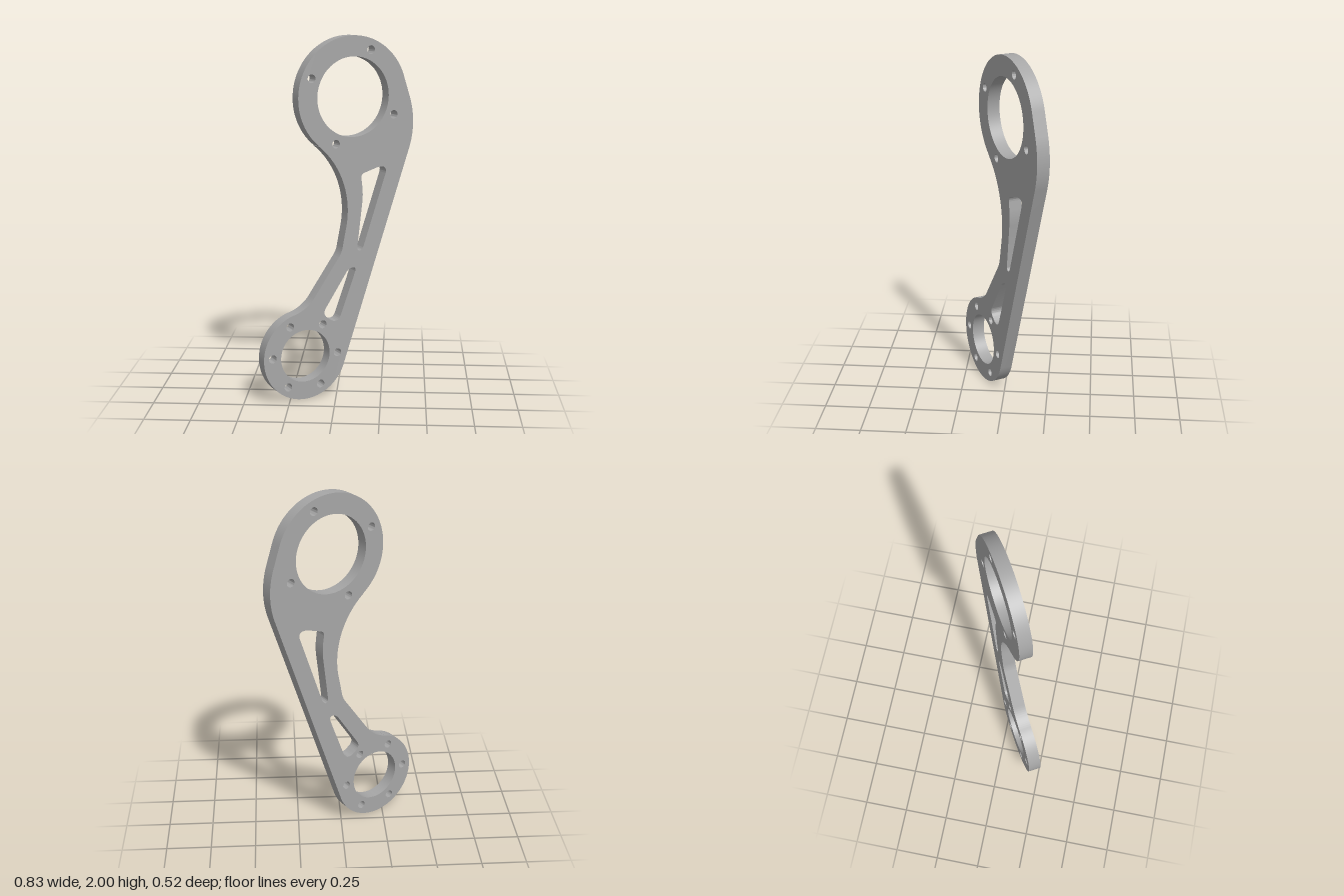
import * as THREE from 'three';
import { toCreasedNormals } from 'three/addons/utils/BufferGeometryUtils.js';

const THICKNESS = 0.072;
const BIG = { x: 0.083, y: 1.67, outer: 0.33, bore: 0.218 };
const SMALL = { x: -0.212, y: 0.25, outer: 0.25, bore: 0.148 };

function circleHole(x, y, r) {
  return new THREE.Path().absarc(x, y, r, 0, Math.PI * 2, true);
}

// Evenly spaced bolt holes around a ring centre
function boltHoles(ring, count, radius, start) {
  return Array.from({ length: count }, (_, i) => {
    const a = start + (i * Math.PI * 2) / count;
    return circleHole(ring.x + radius * Math.cos(a), ring.y + radius * Math.sin(a), 0.023);
  });
}

// Closed polygon whose corners [x, y, cut] are rounded off by the cut length
function roundedHole(corners) {
  const path = new THREE.Path();
  const n = corners.length;
  corners.forEach(([x, y, cut], i) => {
    const p = new THREE.Vector2(x, y);
    const toward = ([qx, qy]) => new THREE.Vector2(qx, qy).sub(p).setLength(cut).add(p);
    const a = toward(corners[(i + n - 1) % n]);
    const b = toward(corners[(i + 1) % n]);
    if (i === 0) path.moveTo(a.x, a.y);
    else path.lineTo(a.x, a.y);
    path.quadraticCurveTo(x, y, b.x, b.y);
  });
  path.closePath();
  return path;
}

// Outer contour, counter-clockwise from the lower right tangent
function armOutline() {
  const s = new THREE.Shape();
  s.moveTo(0.0245, 0.169);
  s.absarc(0.008, 1.515, 0.45, -0.33, 0.326, false);        // shoulder bulge
  s.absarc(BIG.x, BIG.y, BIG.outer, 0.326, 4.033, false);   // large ring
  s.absarc(-0.421, 1.046, 0.47, 0.891, -0.17, true);        // waist fillet
  s.lineTo(0.018, 0.845);
  s.quadraticCurveTo(0.012, 0.81, -0.01, 0.782);            // elbow
  s.lineTo(-0.16, 0.57);
  s.quadraticCurveTo(-0.205, 0.511, -0.28, 0.49);           // fillet into small ring
  s.absarc(SMALL.x, SMALL.y, SMALL.outer, 1.847, 5.953, false);
  return s;
}

export function createModel() {
  const steel = new THREE.MeshStandardMaterial({ color: 0xa6a6a6 });
  steel.name = 'grey metal';

  const shape = armOutline();
  shape.holes.push(
    circleHole(BIG.x, BIG.y, BIG.bore),
    circleHole(SMALL.x, SMALL.y, SMALL.bore),
    ...boltHoles(BIG, 4, 0.273, -0.4),
    ...boltHoles(SMALL, 6, 0.198, -0.04),
    // upper lightening pocket
    roundedHole([
      [0.13, 1.243, 0.025], [0.145, 1.13, 0.05], [0.106, 0.81, 0.03],
      [0.139, 0.81, 0.03], [0.296, 1.27, 0.035], [0.255, 1.282, 0.03],
    ]),
    // lower lightening pocket
    roundedHole([
      [-0.108, 0.475, 0.04], [-0.03, 0.415, 0.04],
      [0.0, 0.44, 0.02], [0.106, 0.723, 0.03], [0.057, 0.722, 0.03],
    ]),
  );

  const geometry = new THREE.ExtrudeGeometry(shape, {
    depth: THICKNESS, bevelEnabled: false, curveSegments: 40,
  });
  geometry.translate(0, 0, -THICKNESS / 2);

  const plate = new THREE.Mesh(toCreasedNormals(geometry, 0.6), steel);
  plate.name = 'linkArmPlate';
  plate.rotation.y = Math.PI / 6;

  const group = new THREE.Group();
  group.name = 'linkArm';
  group.add(plate);
  return group;
}
